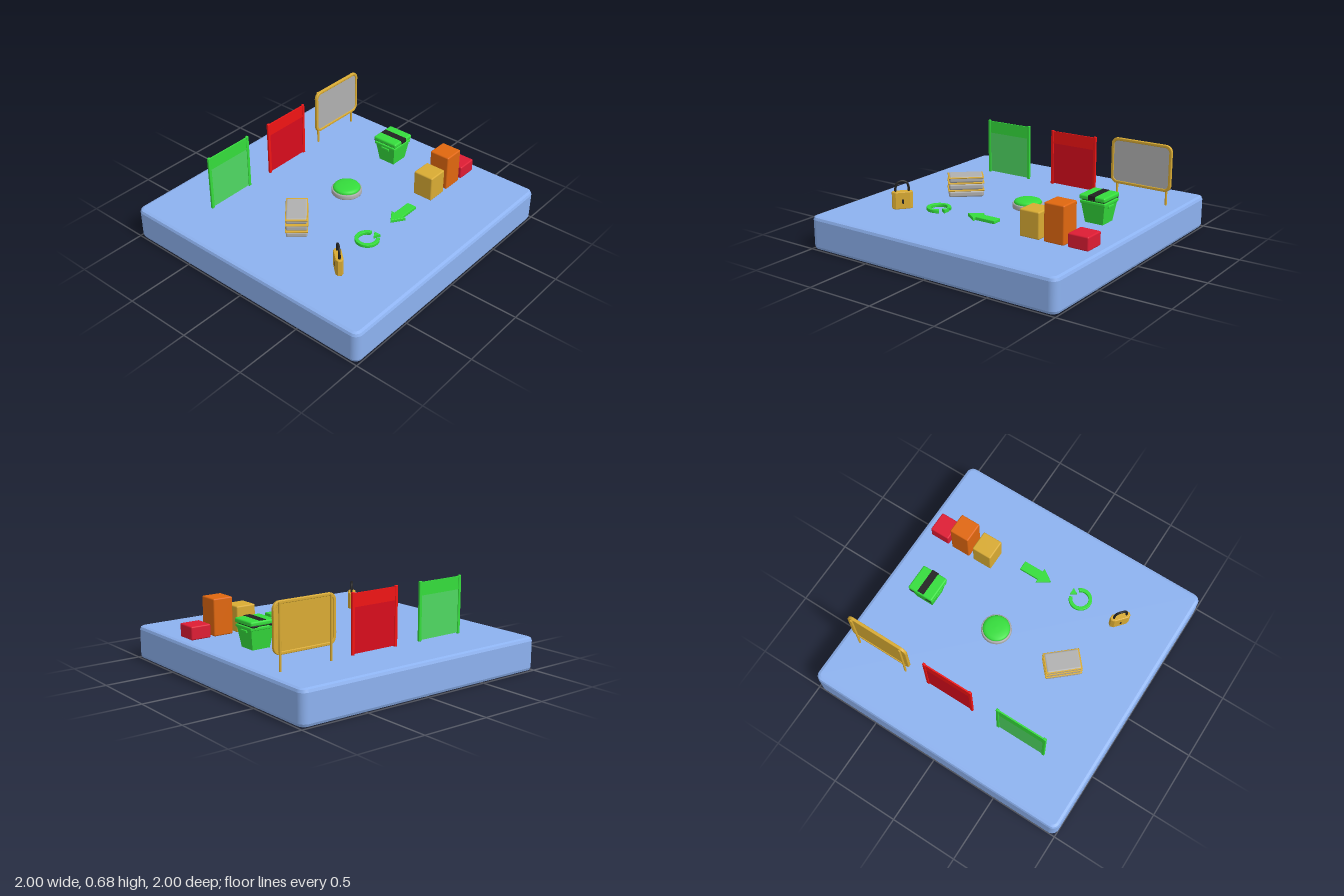
import * as THREE from 'three';
import { RoundedBoxGeometry } from 'three/addons/geometries/RoundedBoxGeometry.js';

const mat = (color) => new THREE.MeshStandardMaterial({ color });
const blue = mat(0x8db2f0), gold = mat(0xd9ab33), grey = mat(0xb0b0b0), green = mat(0x35dd3c),
  paleGreen = mat(0x4fd862), red = mat(0xf01414), darkRed = mat(0xd80c1c), crimson = mat(0xde1c34),
  orange = mat(0xe0670f), black = mat(0x222222);

const TOP = 0.24; // upper face of the platform

function add(parent, name, geo, material, x = 0, y = 0, z = 0) {
  const m = new THREE.Mesh(geo, material);
  m.name = name;
  m.position.set(x, y, z);
  parent.add(m);
  return m;
}

function group(parent, name, x, y, z, turn = 0) {
  const g = new THREE.Group();
  g.name = name;
  g.position.set(x, y, z);
  g.rotation.y = turn;
  parent.add(g);
  return g;
}

const box = (w, h, d, r = 0) => r ? new RoundedBoxGeometry(w, h, d, 3, r) : new THREE.BoxGeometry(w, h, d);

function roundRect(shape, w, h, r) {
  const a = w / 2 - r, b = h / 2 - r;
  shape.absarc(a, b, r, 0, Math.PI / 2);
  shape.absarc(-a, b, r, Math.PI / 2, Math.PI);
  shape.absarc(-a, -b, r, Math.PI, Math.PI * 1.5);
  shape.absarc(a, -b, r, Math.PI * 1.5, Math.PI * 2);
  shape.closePath();
  return shape;
}

// Extrudes a shape and lays it flat: shape y becomes +z, thickness is centred on y
function flat(shape, height, bevel = 0.004) {
  const h = height - 2 * bevel;
  return new THREE.ExtrudeGeometry(shape, {
    depth: h, curveSegments: 24, bevelEnabled: true, bevelSize: bevel,
    bevelThickness: bevel, bevelOffset: -bevel, bevelSegments: 2,
  }).translate(0, 0, -h / 2).rotateX(Math.PI / 2);
}

const polygon = (pts) => new THREE.Shape(pts.map(([x, y]) => new THREE.Vector2(x, y)));

// Sheet hung between two posts
function gate(root, name, z, bright, panel) {
  const g = group(root, name, -0.6, TOP, z);
  add(g, 'panel', box(0.006, 0.31, 0.35), panel, 0, 0.163, 0);
  add(g, 'topBand', box(0.01, 0.092, 0.35), bright, 0, 0.362, 0);
  for (const s of [-1, 1]) add(g, 'post', box(0.018, 0.415, 0.022, 0.004), bright, 0, 0.2075, s * 0.182);
}

function signBoard(root) {
  const g = group(root, 'signBoard', -0.6, 0.51, -0.68);
  const frame = roundRect(new THREE.Shape(), 0.478, 0.338, 0.05);
  frame.holes.push(roundRect(new THREE.Path(), 0.436, 0.296, 0.032));
  const bevel = { depth: 0.012, bevelSize: 0.005, bevelThickness: 0.005, bevelOffset: -0.005, bevelSegments: 3 };
  add(g, 'frame', new THREE.ExtrudeGeometry(frame, bevel).translate(0, 0, -0.006).rotateY(Math.PI / 2), gold);
  const sheet = (t) => new THREE.ExtrudeGeometry(roundRect(new THREE.Shape(), 0.45, 0.31, 0.04),
    { depth: t, bevelEnabled: false }).rotateY(Math.PI / 2);
  add(g, 'face', sheet(0.005), grey);
  add(g, 'back', sheet(0.005), gold, -0.005);
  for (const s of [-1, 1])
    add(g, 'leg', new THREE.CylinderGeometry(0.008, 0.008, 0.43, 12), gold, -0.015, -0.055, s * 0.197);
}

function bin(root) {
  const g = group(root, 'bin', -0.04, TOP, -0.67);
  // Body narrows towards the floor
  const body = box(0.17, 0.14, 0.18), p = body.attributes.position;
  for (let i = 0; i < p.count; i++) if (p.getY(i) < 0) p.setXYZ(i, p.getX(i) * 0.76, p.getY(i), p.getZ(i) * 0.76);
  body.computeVertexNormals();
  add(g, 'body', body, green, 0, 0.07, 0);
  add(g, 'rim', box(0.185, 0.022, 0.195, 0.006), green, 0, 0.147, 0);
  add(g, 'lidGap', box(0.165, 0.014, 0.17), black, 0, 0.162, 0);
  add(g, 'lid', box(0.2, 0.034, 0.2, 0.012), green, 0, 0.182, 0);
  add(g, 'lidStripe', box(0.192, 0.03, 0.052), black, 0.006, 0.1865, 0);
  for (const s of [-1, 1]) {
    add(g, 'hinge', new THREE.CylinderGeometry(0.009, 0.009, 0.04, 12).rotateX(Math.PI / 2), black, -0.094, 0.165, s * 0.07);
    add(g, 'handle', box(0.07, 0.02, 0.014, 0.005), green, 0, 0.122, s * 0.09);
  }
}

function button(root) {
  const g = group(root, 'pushButton', -0.015, TOP, -0.11);
  const lathe = (pts) => new THREE.LatheGeometry(pts.map(([x, y]) => new THREE.Vector2(x, y)), 48);
  add(g, 'buttonBase', lathe([[0, 0], [0.107, 0], [0.11, 0.006], [0.109, 0.03], [0.104, 0.036], [0.097, 0.036], [0.094, 0.026], [0, 0.026]]), grey);
  add(g, 'buttonCap', lathe([[0.097, 0.025], [0.098, 0.042], [0.092, 0.052], [0.075, 0.059], [0.04, 0.063], [0, 0.064]]), green);
}

// Three bowed slabs with thin plates between them
function stack(root) {
  const g = group(root, 'stack', -0.003, TOP, 0.43, -0.85);
  for (let i = 0; i < 3; i++) {
    add(g, 'slab', box(0.252 - i * 0.004, 0.045, 0.147, 0.014), grey, 0, 0.0235 + i * 0.054, 0);
    if (i < 2) add(g, 'plate', box(0.262, 0.01, 0.155, 0.004), gold, 0, 0.0505 + i * 0.054, 0);
  }
  add(g, 'trim', box(0.257, 0.01, 0.152, 0.004), gold, 0, 0.145, 0);
}

function padlock(root) {
  const g = group(root, 'padlock', 0.507, TOP, 0.594, -0.71);
  const outline = polygon([[-0.072, -0.012], [-0.05, -0.027], [0.05, -0.027], [0.072, -0.012],
    [0.072, 0.012], [0.05, 0.027], [-0.05, 0.027], [-0.072, 0.012]]);
  add(g, 'lockBody', flat(outline, 0.125, 0.006), gold, 0, 0.0625, 0);
  const path = new THREE.CatmullRomCurve3([[-0.046, 0.11], [-0.046, 0.15], [-0.034, 0.184], [0, 0.197],
    [0.034, 0.184], [0.046, 0.15], [0.046, 0.11]].map(([x, y]) => new THREE.Vector3(x, y, 0)));
  add(g, 'shackle', new THREE.TubeGeometry(path, 32, 0.0085, 10), black);
  add(g, 'keySlot', box(0.012, 0.035, 0.056), black, 0, 0.055, 0);
}

function arrows(root) {
  const straight = polygon([[-0.035, -0.12], [0.035, -0.12], [0.035, 0.03], [0.061, 0.03],
    [0, 0.12], [-0.061, 0.03], [-0.035, 0.03]]);
  add(root, 'straightArrow', flat(straight, 0.024), green, 0.49, 0.295, -0.09);

  const g = group(root, 'turnArrow', 0.49, 0.295, 0.28);
  const from = -40 * Math.PI / 180, to = 254 * Math.PI / 180;
  const ring = new THREE.Shape();
  ring.absarc(0, 0, 0.084, from, to, false);
  ring.absarc(0, 0, 0.058, to, from, true);
  add(g, 'ring', flat(ring, 0.024), green);
  add(g, 'arrowHead', flat(polygon([[-0.004, -0.084], [0.046, -0.084], [0.021, -0.042]]), 0.024, 0.002), green);
}

export function createModel() {
  const root = new THREE.Group();
  root.name = 'platformScene';

  // Platform with rounded corners
  add(root, 'platform', flat(roundRect(new THREE.Shape(), 2, 2, 0.055), TOP, 0.025), blue, 0, TOP / 2, 0);

  signBoard(root);
  gate(root, 'redGate', -0.115, red, darkRed);
  gate(root, 'greenGate', 0.467, green, paleGreen);
  bin(root);
  button(root);
  stack(root);

  // Row of blocks
  for (const [name, z, h, m] of [['redBlock', -0.847, 0.096, crimson], ['orangeBlock', -0.667, 0.265, orange], ['yellowBlock', -0.48, 0.187, gold]])
    add(root, name, box(0.155, h, 0.152, 0.01), m, 0.436, TOP + h / 2, z);

  arrows(root);
  padlock(root);
  return root;
}
